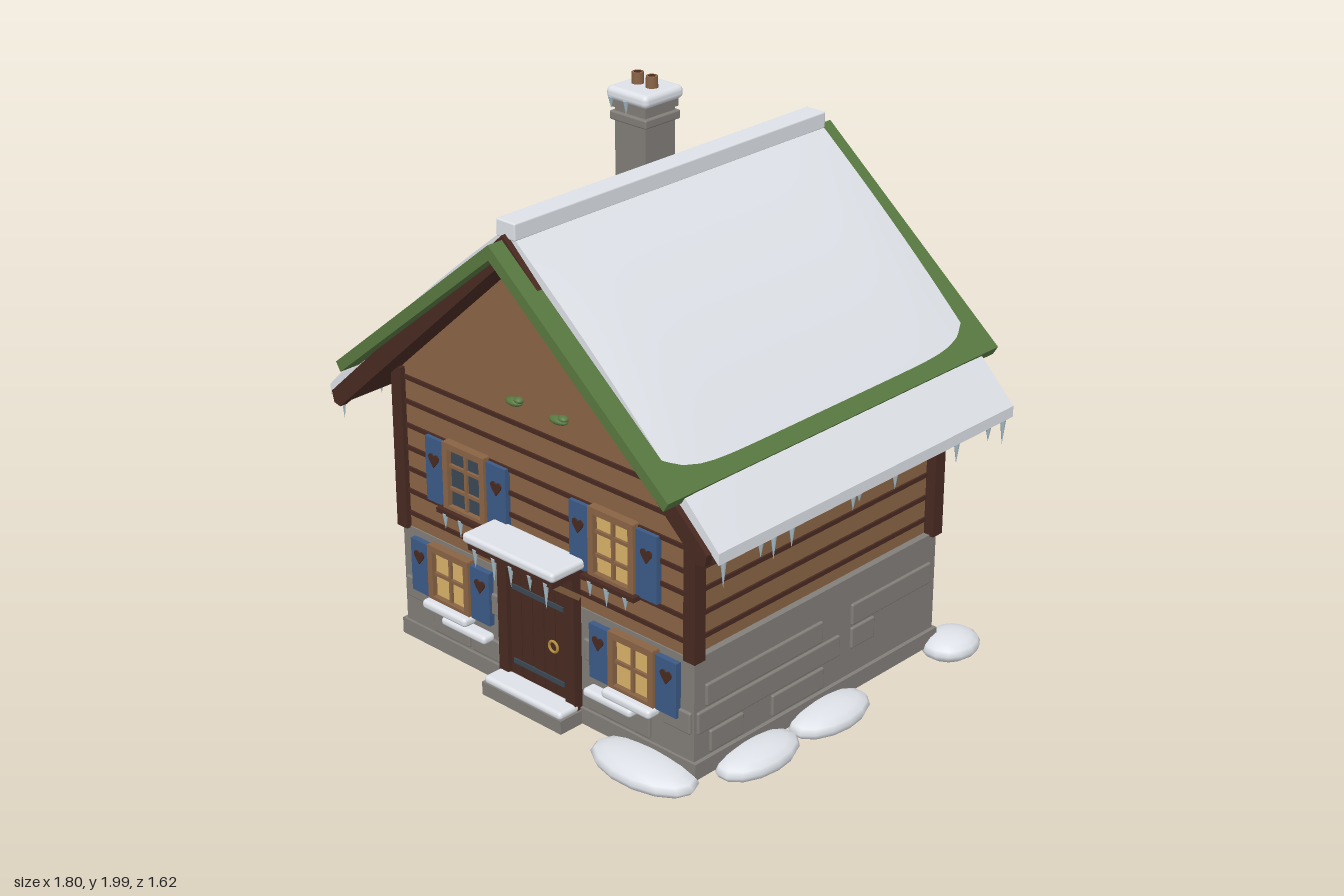
import * as THREE from 'three';
import { RoundedBoxGeometry } from 'three/addons/geometries/RoundedBoxGeometry.js';

const mat = (name, color, side = THREE.FrontSide) => {
  const m = new THREE.MeshStandardMaterial({ color, side });
  m.name = name;
  return m;
};

export function createModel() {
  const snow = mat('snow', 0xe4e8ee), moss = mat('moss', 0x587840), stone = mat('stone', 0x827e79),
    timber = mat('timber', 0x8a6445), dark = mat('dark wood', 0x482a21), blue = mat('shutter blue', 0x3c5a86),
    glow = mat('lit glass', 0xd8b268), glass = mat('dark glass', 0x3b4855), ice = mat('ice', 0xa9bfca),
    brass = mat('brass', 0xb89040);
  const house = new THREE.Group();
  house.name = 'winterCottage';

  const add = (parent, name, geo, material, x = 0, y = 0, z = 0) => {
    const m = new THREE.Mesh(geo, material);
    m.name = name;
    m.position.set(x, y, z);
    parent.add(m);
    return m;
  };
  const group = (parent, name, x = 0, y = 0, z = 0, ry = 0) => {
    const g = new THREE.Group();
    g.name = name;
    g.position.set(x, y, z);
    g.rotation.y = ry;
    parent.add(g);
    return g;
  };
  // box given by its limits
  const box = (p, name, m, x0, x1, y0, y1, z0, z1) =>
    add(p, name, new THREE.BoxGeometry(x1 - x0, y1 - y0, z1 - z0), m, (x0 + x1) / 2, (y0 + y1) / 2, (z0 + z1) / 2);
  const softBox = (p, name, m, x0, x1, y0, y1, z0, z1, r = 0.014) =>
    add(p, name, new RoundedBoxGeometry(x1 - x0, y1 - y0, z1 - z0, 3, r), m, (x0 + x1) / 2, (y0 + y1) / 2, (z0 + z1) / 2);
  const prism = (p, name, m, pts, z0, z1) =>
    add(p, name, new THREE.ExtrudeGeometry(new THREE.Shape(pts.map(a => new THREE.Vector2(...a))),
      { depth: z1 - z0, bevelEnabled: false }), m, 0, 0, z0);
  const blob = (p, name, m, x, y, z, rx, ry, rz) => {
    const b = add(p, name, new THREE.SphereGeometry(1, 14, 8), m, x, y, z);
    b.scale.set(rx, ry, rz);
  };
  const icicle = (p, x, y, z, len) =>
    add(p, 'icicle', new THREE.ConeGeometry(0.011, len, 6).rotateX(Math.PI), ice, x, y - len / 2, z);

  // Walls
  box(house, 'plinth', stone, -0.705, 0.705, 0.06, 0.12, -0.62, 0.62);
  box(house, 'stoneWalls', stone, -0.69, 0.69, 0.1, 0.495, -0.61, 0.61);
  prism(house, 'timberWalls', timber,
    [[-0.665, 0.49], [0.665, 0.49], [0.665, 1.12], [0, 1.725], [-0.665, 1.12]], -0.605, 0.605);
  for (const sx of [-1, 1]) for (const sz of [-1, 1])
    box(house, 'cornerPost', dark, sx * 0.68 - 0.025, sx * 0.68 + 0.025, 0.49, 1.1, sz * 0.6 - 0.025, sz * 0.6 + 0.025);
  for (const y of [0.55, 0.635, 0.72, 0.8, 0.885, 0.975, 1.065])
    box(house, 'boardSeam', dark, -0.672, 0.672, y - 0.008, y + 0.008, -0.612, 0.612);

  // One group per wall, local z pointing outwards
  const front = group(house, 'frontWall', 0, 0, 0.61);
  const back = group(house, 'backWall', 0, 0, -0.61, Math.PI);
  const left = group(house, 'leftWall', 0.69, 0, 0, Math.PI / 2);
  const right = group(house, 'rightWall', -0.69, 0, 0, -Math.PI / 2);

  // Raised stones: [x0, x1, row]
  const stones = (p, list) => list.forEach(([a, b, row]) =>
    softBox(p, 'stoneBlock', stone, a, b, 0.13 + row * 0.09, 0.21 + row * 0.09, -0.01, 0.01, 0.006));
  const sideStones = [[-0.56, 0.01, 2], [0.16, 0.58, 2], [-0.6, 0.1, 1], [0.16, 0.28, 1], [-0.54, -0.38, 0], [-0.24, 0.02, 0]];
  stones(left, sideStones);
  stones(right, sideStones.map(([a, b, r]) => [-b, -a, r]));
  stones(back, [[-0.58, -0.15, 2], [-0.08, 0.25, 2], [-0.35, -0.05, 1], [0.02, 0.22, 1], [0.3, 0.62, 1], [-0.55, -0.3, 0], [0.35, 0.5, 0], [0.32, 0.6, 2]]);
  stones(front, [[-0.54, -0.36, 0], [-0.34, -0.21, 0], [0.22, 0.5, 0], [-0.32, -0.2, 2], [0.2, 0.3, 2], [0.56, 0.68, 1], [-0.68, -0.58, 1]]);

  // Windows with bars, shutters and heart ornaments
  const heart = new THREE.Shape();
  heart.moveTo(0, -0.028);
  heart.bezierCurveTo(0.012, -0.01, 0.028, 0, 0.024, 0.014);
  heart.bezierCurveTo(0.018, 0.026, 0.004, 0.024, 0, 0.012);
  heart.bezierCurveTo(-0.004, 0.024, -0.018, 0.026, -0.024, 0.014);
  heart.bezierCurveTo(-0.028, 0, -0.012, -0.01, 0, -0.028);
  const heartGeo = new THREE.ExtrudeGeometry(heart, { depth: 0.006, bevelEnabled: false, curveSegments: 5 });
  const makeWindow = (p, x, y, z, h, pane, rows) => {
    const g = group(p, 'window', x, y, z);
    const w = 0.1;
    box(g, 'pane', pane, -w, w, -h, h, 0, 0.012);
    for (const s of [-1, 1]) {
      box(g, 'frameSide', timber, s * 0.09 - 0.012, s * 0.09 + 0.012, -h, h, 0, 0.032);
      box(g, 'frameRail', timber, -w, w, s * (h - 0.01) - 0.012, s * (h - 0.01) + 0.012, 0, 0.032);
      box(g, 'shutter', blue, s * 0.15 - 0.046, s * 0.15 + 0.046, -h + 0.005, h - 0.01, 0, 0.022);
      add(g, 'heart', heartGeo, dark, s * 0.153, 0.038, 0.021);
    }
    box(g, 'glazingBar', timber, -0.006, 0.006, -h, h, 0, 0.022);
    for (let i = 1; i < rows; i++) {
      const by = -h + 2 * h * i / rows;
      box(g, 'glazingBar', timber, -w, w, by - 0.006, by + 0.006, 0, 0.022);
    }
    return g;
  };
  const upperWindow = (p, x, z, pane) => {
    const g = makeWindow(p, x, 0.77, z, 0.128, pane, 3);
    box(g, 'sill', dark, -0.12, 0.12, -0.135, -0.118, 0, 0.05);
    [[-0.08, 0.06], [-0.005, 0.07], [0.08, 0.05]].forEach(([ix, l]) => icicle(g, ix, -0.13, 0.045, l));
  };
  upperWindow(front, -0.345, -0.005, glass);
  upperWindow(front, 0.345, -0.005, glow);
  for (const x of [-0.3, 0.3]) {
    upperWindow(right, x, -0.025, glass);
    softBox(right, 'snowLedge', snow, x - 0.1, x + 0.1, 0.2, 0.24, -0.01, 0.14);
  }
  for (const s of [-1, 1]) {
    makeWindow(front, s * 0.435, 0.37, 0, 0.108, glow, 2);
    softBox(front, 'snowSill', snow, s * 0.435 - 0.11, s * 0.435 + 0.11, 0.238, 0.272, 0, 0.06);
    softBox(front, 'snowLedge', snow, s * 0.345 - 0.11, s * 0.345 + 0.11, 0.204, 0.236, 0, 0.055);
  }

  // Door, step and hood
  const door = group(front, 'door');
  box(door, 'doorLeaf', dark, -0.14, 0.14, 0.12, 0.58, 0, 0.014);
  for (let i = 0; i < 5; i++)
    box(door, 'doorPlank', dark, -0.134 + i * 0.054, -0.084 + i * 0.054, 0.13, 0.57, 0, 0.02);
  for (const s of [-1, 1]) {
    box(door, 'doorPost', dark, s * 0.16 - 0.022, s * 0.16 + 0.022, 0.055, 0.6, 0, 0.035);
    const strut = box(door, 'hoodStrut', timber, s * 0.18 - 0.01, s * 0.18 + 0.01, -0.01, 0.01, -0.08, 0.08);
    strut.position.set(s * 0.18, 0.585, 0.075);
    strut.rotation.x = -0.65;
  }
  box(door, 'lintel', dark, -0.182, 0.182, 0.57, 0.62, 0, 0.04);
  for (const y of [0.185, 0.47]) box(door, 'hinge', glass, -0.12, 0.12, y - 0.009, y + 0.009, 0.015, 0.025);
  add(door, 'knocker', new THREE.TorusGeometry(0.02, 0.005, 6, 16), brass, 0.075, 0.315, 0.026);
  box(door, 'step', stone, -0.19, 0.19, 0.06, 0.11, 0, 0.11);
  softBox(door, 'stepSnow', snow, -0.185, 0.185, 0.105, 0.135, 0.015, 0.108);
  box(door, 'hood', dark, -0.2, 0.2, 0.625, 0.658, 0, 0.145);
  softBox(door, 'hoodSnow', snow, -0.215, 0.215, 0.652, 0.688, 0, 0.16);
  [[-0.17, 0.07], [-0.08, 0.09], [0, 0.08], [0.09, 0.06], [0.165, 0.1]].forEach(([x, l]) => icicle(door, x, 0.635, 0.14, l));

  // Moss tufts at the foot of both gables
  const tuft = (p, x, w) => {
    blob(p, 'mossTuft', moss, x, 1.145, 0.002, w, 0.014, 0.022);
    blob(p, 'mossTuft', moss, x + 0.02, 1.155, 0, w * 0.5, 0.012, 0.018);
  };
  [[-0.11, 0.035], [0.095, 0.04], [0.41, 0.04], [0.47, 0.04]].forEach(a => tuft(front, ...a));
  [[-0.2, 0.035], [-0.06, 0.04], [0.44, 0.05]].forEach(a => tuft(back, ...a));

  // Roof: timber deck, verge boards, moss layer and domed snow
  const roof = group(house, 'roof');
  const chevron = (name, m, half, z0, z1) => // half: right-hand outline, top apex to bottom apex
    prism(roof, name, m, [...half.map(([x, y]) => [x, y]), ...half.slice(1, -1).reverse().map(([x, y]) => [-x, y])], z0, z1);
  chevron('roofDeck', dark, [[0, 1.765], [0.885, 0.965], [0.84, 0.945], [0, 1.705]], -0.722, 0.722);
  const verge = [[0, 1.792], [0.87, 0.99], [0.86, 0.95], [0.83, 0.943], [0, 1.698]];
  chevron('vergeBoard', dark, verge, 0.72, 0.75);
  chevron('vergeBoard', dark, verge, -0.75, -0.72);
  chevron('mossLayer', moss, [[0, 1.776], [0.765, 1.15], [0.745, 1.118], [0, 1.725]], -0.81, 0.81);

  const sheet = new THREE.BoxGeometry(0.9, 0.04, 1.46, 24, 1, 24).translate(0.45, 0, 0);
  const pos = sheet.attributes.position;
  for (let i = 0; i < pos.count; i++) {
    const x = pos.getX(i), z = pos.getZ(i), top = pos.getY(i) > 0;
    const bulge = top ? 0.042 * Math.sin(Math.PI * x / 0.9) * (1 - 0.35 * Math.pow(Math.abs(z) / 0.73, 8)) : 0;
    pos.setY(i, 1.79 - 0.9 * x + pos.getY(i) + bulge);
  }
  sheet.computeVertexNormals();
  add(roof, 'roofSnow', sheet, snow);
  add(roof, 'roofSnow', sheet, snow).rotation.y = Math.PI;
  softBox(roof, 'ridgeSnow', snow, -0.042, 0.042, 1.775, 1.835, -0.735, 0.735, 0.006);

  const drips = [[0.69, 0.1], [0.52, 0.06], [0.46, 0.09], [0.375, 0.08], [0.08, 0.06], [0.05, 0.04],
    [-0.13, 0.06], [-0.45, 0.08], [-0.62, 0.06], [-0.7, 0.1]];
  for (const s of [-1, 1]) drips.forEach(([z, l]) => icicle(roof, s * 0.882, 0.96, z, l));

  // Chimney
  const chimney = group(house, 'chimney', -0.345, 0, -0.245);
  box(chimney, 'shaft', stone, -0.072, 0.072, 1.3, 1.92, -0.072, 0.072);
  softBox(chimney, 'lowerCollar', stone, -0.086, 0.086, 1.84, 1.872, -0.086, 0.086, 0.006);
  box(chimney, 'upperCollar', stone, -0.08, 0.08, 1.885, 1.92, -0.08, 0.08);
  softBox(chimney, 'chimneySnow', snow, -0.096, 0.096, 1.912, 1.96, -0.096, 0.096, 0.02);
  for (const x of [-0.033, 0.033]) {
    add(chimney, 'pot', new THREE.CylinderGeometry(0.021, 0.023, 0.06, 12), timber, x, 1.97, 0);
    add(chimney, 'potMouth', new THREE.CylinderGeometry(0.013, 0.013, 0.002, 12), dark, x, 2.0, 0);
  }
  [[-0.07, 0.04], [0, 0.05]].forEach(([x, l]) => icicle(chimney, x, 1.925, 0.092, l));

  // Snow drifts round the base
  [[0.52, 0.665, 0.22, 0.115], [-0.68, -0.66, 0.22, 0.11], [0.74, -0.655, 0.1, 0.115],
    [0.74, 0.36, 0.1, 0.18], [0.74, 0, 0.1, 0.18], [-0.74, -0.38, 0.1, 0.19], [-0.74, 0, 0.1, 0.18]]
    .forEach(([x, z, rx, rz]) => blob(house, 'snowDrift', snow, x, 0.056, z, rx, 0.05, rz));

  return house;
}
